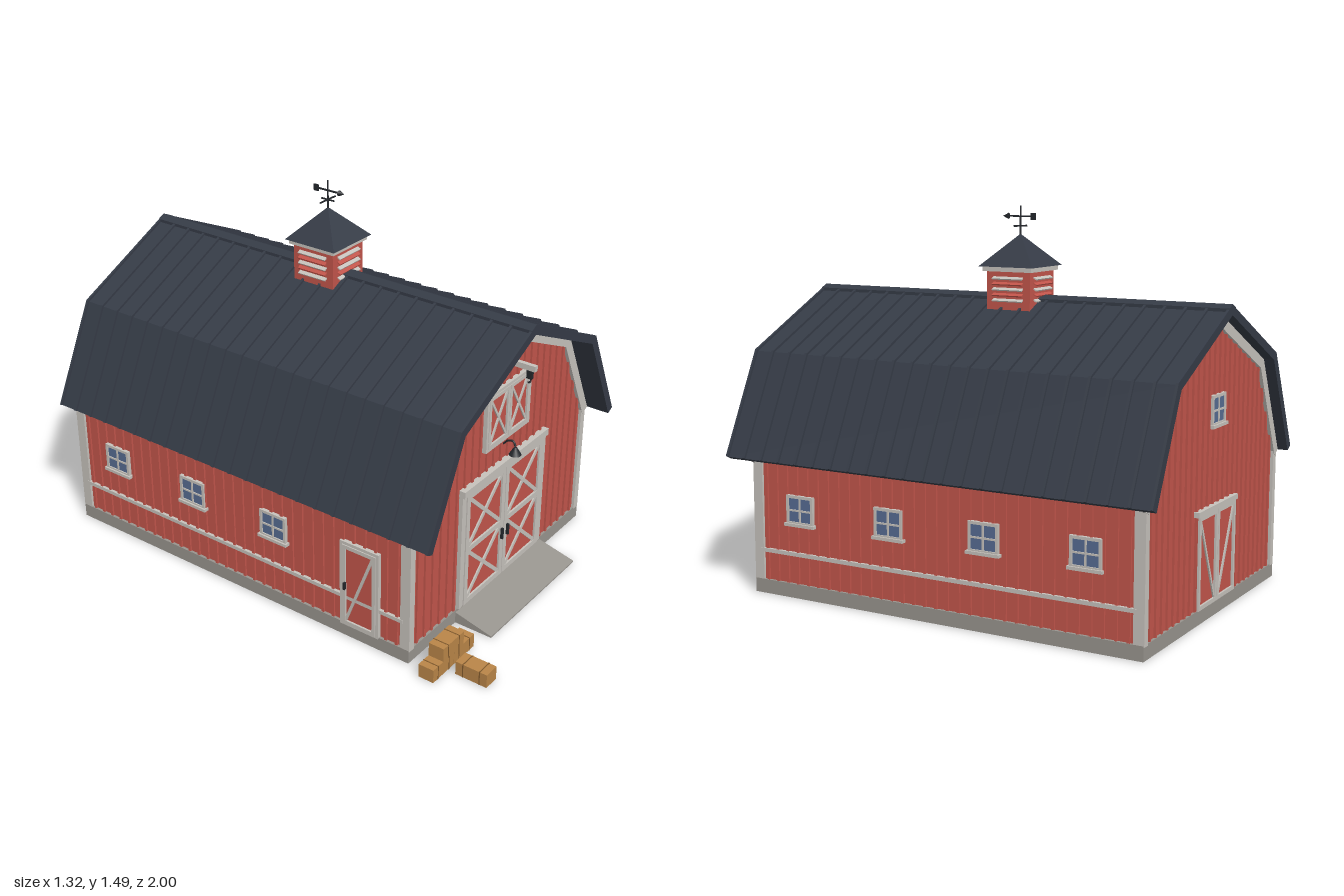
import * as THREE from 'three';

const mat = (name, color) => Object.assign(new THREE.MeshStandardMaterial({ color }), { name });
const red = mat('barn red', 0xc2554b), trim = mat('trim grey', 0xc6c2bc), slate = mat('roof slate', 0x353b46),
  concrete = mat('concrete', 0x98948e), glass = mat('window glass', 0x566c92), iron = mat('iron', 0x24272c),
  straw = mat('straw', 0xb98548), twine = mat('twine', 0x80592c);

const X = 0.605, ZF = 0.69, ZB = -0.945, ZC = (ZF + ZB) / 2, BASE = 0.055;

function add(parent, name, geo, material, x = 0, y = 0, z = 0) {
  const m = new THREE.Mesh(geo, material);
  m.name = name;
  m.position.set(x, y, z);
  parent.add(m);
  return m;
}
const box = (p, name, m, w, h, d, x, y, z) => add(p, name, new THREE.BoxGeometry(w, h, d), m, x, y, z);

function group(parent, name, x = 0, y = 0, z = 0, ry = 0) {
  const g = new THREE.Group();
  g.name = name;
  g.position.set(x, y, z);
  g.rotation.y = ry;
  parent.add(g);
  return g;
}

// straight board between two points of a wall plane
function board(p, name, m, x1, y1, x2, y2, w, d, z) {
  const b = box(p, name, m, Math.hypot(x2 - x1, y2 - y1), w, d, (x1 + x2) / 2, (y1 + y2) / 2, z);
  b.rotation.z = Math.atan2(y2 - y1, x2 - x1);
}

// gambrel outline, moved inward by off, from +x eave to -x eave
function gambrel(off) {
  const half = [[0.652 - 0.897 * off, 0.53 - 0.443 * off], [0.462 - 0.743 * off, 0.922 - 0.755 * off]];
  return [...half, [0, 1.142 - off / 0.904], ...half.map(([x, y]) => [-x, y]).reverse()];
}
function extrude(points, depth) {
  const shape = new THREE.Shape(points.map(([x, y]) => new THREE.Vector2(x, y)));
  return new THREE.ExtrudeGeometry(shape, { depth, bevelEnabled: false });
}
const band = (a, b, depth) => extrude([...gambrel(a), ...gambrel(b).reverse()], depth);

// height of the gable wall at x
function wallTop(x) {
  const [e, k, p] = gambrel(0.025), a = Math.abs(x);
  const [s, t] = a > k[0] ? [k, e] : [p, k];
  return s[1] + (t[1] - s[1]) * (a - s[0]) / (t[0] - s[0]);
}

// rectangular frame of four boards
function frame(p, m, x0, x1, y0, y1, w, d, z) {
  for (const x of [x0 + w / 2, x1 - w / 2]) box(p, 'stile', m, w, y1 - y0, d, x, (y0 + y1) / 2, z);
  for (const y of [y0 + w / 2, y1 - w / 2]) box(p, 'rail', m, x1 - x0 - 2 * w, w, d, (x0 + x1) / 2, y, z);
}

// braced door leaf; braces: 'x' crossed, 1 or -1 single diagonal
function leaf(p, x0, x1, y0, y1, w, rows, brace) {
  box(p, 'door panel', red, x1 - x0, y1 - y0, 0.012, (x0 + x1) / 2, (y0 + y1) / 2, 0.006);
  frame(p, trim, x0, x1, y0, y1, w, 0.012, 0.014);
  const a = x0 + w, b = x1 - w, h = (y1 - y0 - w) / rows;
  for (let i = 0; i < rows; i++) {
    const lo = y0 + w + i * h, hi = lo + h - w;
    if (i) box(p, 'middle rail', trim, b - a, w, 0.012, (a + b) / 2, lo - w / 2, 0.014);
    if (brace !== -1) board(p, 'brace', trim, a, lo, b, hi, w * 0.7, 0.008, 0.014);
    if (brace !== 1) board(p, 'brace', trim, a, hi, b, lo, w * 0.7, 0.0076, 0.014);
  }
}

function windowUnit(wall, x, y) {
  const g = group(wall, 'window', x, y);
  box(g, 'pane', glass, 0.11, 0.1, 0.009, 0, 0, 0.0055);
  frame(g, trim, -0.062, 0.062, -0.055, 0.058, 0.011, 0.014, 0.008);
  box(g, 'mullion', trim, 0.007, 0.1, 0.006, 0, 0, 0.011);
  box(g, 'muntin', trim, 0.11, 0.007, 0.006, 0, 0, 0.011);
  box(g, 'sill', trim, 0.138, 0.012, 0.022, 0, -0.056, 0.011);
}

function battens(wall, half, top) {
  const n = Math.round(2 * half / 0.0475);
  for (let i = 1; i < n; i++) {
    const x = -half + 2 * half * i / n, h = top(x) - BASE;
    box(wall, 'batten', red, 0.011, h, 0.008, x, BASE + h / 2, 0.004);
  }
}

function bale(parent, x, y, z, ry = 0) {
  const g = group(parent, 'strawBale', x, y, z, ry);
  box(g, 'bale', straw, 0.132, 0.055, 0.064, 0, 0.0275, 0);
  for (const s of [-1, 1]) box(g, 'twine', twine, 0.004, 0.057, 0.066, s * 0.035, 0.0275, 0);
}

export function createModel() {
  const barn = new THREE.Group();
  barn.name = 'barn';

  // foundation, ramp and wall body
  box(barn, 'foundation', concrete, 1.232, BASE, 1.655, 0, BASE / 2, ZC);
  const ramp = add(barn, 'ramp', extrude([[0, 0], [0.17, 0], [0.17, 0.006], [0, 0.048]], 0.616), concrete, 0.308, 0, 0.69);
  ramp.rotation.y = -Math.PI / 2;
  ramp.position.x = 0.308;
  const [, k, p, k2] = gambrel(0.025);
  const outline = [[X, BASE], [X, wallTop(X)], k, p, k2, [-X, wallTop(X)], [-X, BASE]];
  add(barn, 'walls', extrude(outline, ZF - ZB), red, 0, 0, ZB);

  // roof with standing seams and ridge cap
  add(barn, 'roof', band(0, 0.025, 1.8), slate, 0, 0, -1);
  const seam = band(-0.009, 0.003, 0.01);
  for (let i = 0; i < 23; i++) add(barn, 'roofSeam', seam, slate, 0, 0, -1 + i * 1.79 / 22);
  add(barn, 'ridgeCap', extrude([[-0.03, 1.128], [0.03, 1.128], [0.03, 1.14], [0, 1.154], [-0.03, 1.14]], 1.8), slate, 0, 0, -1);

  // four walls, each built facing +z
  const front = group(barn, 'frontWall', 0, 0, ZF);
  const back = group(barn, 'backWall', 0, 0, ZB, Math.PI);
  const left = group(barn, 'leftWall', X, 0, ZC, Math.PI / 2);
  const right = group(barn, 'rightWall', -X, 0, ZC, -Math.PI / 2);
  for (const w of [front, back]) {
    battens(w, X, x => wallTop(x) - 0.02);
    add(w, 'rakeTrim', band(0.025, 0.065, 0.014), trim);
    for (const s of [-1, 1]) box(w, 'cornerBoard', trim, 0.03, 0.5, 0.012, s * 0.6, 0.3, 0.006);
  }
  for (const w of [left, right]) {
    battens(w, (ZF - ZB) / 2, () => 0.57);
    for (const s of [-1, 1]) box(w, 'cornerBoard', trim, 0.035, 0.5, 0.01, s * 0.805, 0.3, 0.005);
    box(w, 'beltBoard', trim, 1.6, 0.015, 0.012, 0, 0.172, 0.006);
    for (const x of [-0.6075, -0.2025, 0.2025, 0.6075])
      if (w === left || x < 0.5) windowUnit(w, x, 0.345);
  }

  // main double door
  const main = group(front, 'mainDoor');
  for (const s of [-1, 1]) {
    leaf(main, s > 0 ? 0.002 : -0.268, s > 0 ? 0.268 : -0.002, 0.058, 0.542, 0.022, 2, 'x');
    box(main, 'doorPost', trim, 0.026, 0.49, 0.016, s * 0.282, 0.3, 0.008);
    box(main, 'handle', iron, 0.009, 0.046, 0.01, s * 0.02, 0.253, 0.026);
  }
  box(main, 'header', trim, 0.592, 0.028, 0.026, 0, 0.558, 0.013);

  // loft door, hoist and lamp
  const loft = group(front, 'loftDoor');
  leaf(loft, -0.14, -0.001, 0.675, 0.885, 0.014, 1, 'x');
  leaf(loft, 0.001, 0.14, 0.675, 0.885, 0.014, 1, 'x');
  frame(loft, trim, -0.152, 0.152, 0.663, 0.897, 0.012, 0.018, 0.009);
  const hoist = group(front, 'hoist');
  box(hoist, 'beam', trim, 0.018, 0.022, 0.12, 0, 0.981, 0.06);
  box(hoist, 'pulley', iron, 0.014, 0.034, 0.022, 0, 0.953, 0.095);
  add(hoist, 'hook', new THREE.TorusGeometry(0.009, 0.003, 6, 12, 4.5), iron, 0, 0.928, 0.095).rotation.z = Math.PI;
  const lamp = group(front, 'lamp');
  const neck = new THREE.CatmullRomCurve3([[0.632, 0], [0.652, 0.02], [0.655, 0.042], [0.638, 0.052]].map(([y, z]) => new THREE.Vector3(0, y, z)));
  add(lamp, 'neck', new THREE.TubeGeometry(neck, 12, 0.004, 6), iron);
  add(lamp, 'shade', new THREE.CylinderGeometry(0.006, 0.024, 0.03, 16), iron, 0, 0.618, 0.052);

  // back double door and window
  const rear = group(back, 'backDoor');
  leaf(rear, -0.172, -0.001, 0.058, 0.405, 0.016, 1, -1);
  leaf(rear, 0.001, 0.172, 0.058, 0.405, 0.016, 1, 1);
  box(rear, 'header', trim, 0.37, 0.02, 0.022, 0, 0.415, 0.011);
  windowUnit(back, 0, 0.77);

  // side door
  const side = group(right, 'sideDoor', 0.6075);
  leaf(side, -0.075, 0.075, 0.058, 0.405, 0.015, 1, 1);
  frame(side, trim, -0.087, 0.087, 0.05, 0.417, 0.012, 0.016, 0.008);
  box(side, 'handle', iron, 0.008, 0.03, 0.01, -0.06, 0.23, 0.024);

  // cupola with louvres, roof and weather vane
  const cupola = group(barn, 'cupola', 0, 0, -0.13);
  box(cupola, 'cupolaBody', red, 0.188, 0.16, 0.188, 0, 1.165, 0);
  box(cupola, 'cupolaCornice', trim, 0.214, 0.018, 0.214, 0, 1.252, 0);
  for (let i = 0; i < 4; i++) {
    const face = group(cupola, 'louvre', 0, 0, 0, i * Math.PI / 2);
    for (let j = 0; j < 5; j++)
      box(face, 'slat', j % 2 ? red : trim, 0.13, 0.005, 0.02, 0, 1.135 + j * 0.021, 0.098).rotation.x = 0.5;
  }
  const cap = new THREE.ConeGeometry(0.118 * Math.SQRT2, 0.122, 4).rotateY(Math.PI / 4).toNonIndexed();
  cap.computeVertexNormals();
  add(cupola, 'cupolaRoof', cap, slate, 0, 1.322, 0);
  const vane = group(cupola, 'weatherVane');
  add(vane, 'rod', new THREE.CylinderGeometry(0.003, 0.004, 0.12, 8), iron, 0, 1.43, 0);
  box(vane, 'crossBar', iron, 0.094, 0.005, 0.005, 0, 1.413, 0);
  box(vane, 'crossBar', iron, 0.005, 0.005, 0.06, 0, 1.413, 0);
  box(vane, 'arrow', iron, 0.005, 0.006, 0.12, 0, 1.45, 0);
  box(vane, 'arrowTail', iron, 0.004, 0.026, 0.022, 0, 1.45, -0.055);
  add(vane, 'arrowHead', new THREE.ConeGeometry(0.012, 0.025, 8), iron, 0, 1.45, 0.065).rotation.x = Math.PI / 2;

  // straw bales beside the door
  bale(barn, -0.587, 0, 0.802);
  bale(barn, -0.453, 0, 0.802);
  bale(barn, -0.524, 0.055, 0.802);
  bale(barn, -0.53, 0, 0.934, Math.PI / 2);
  return barn;
}
